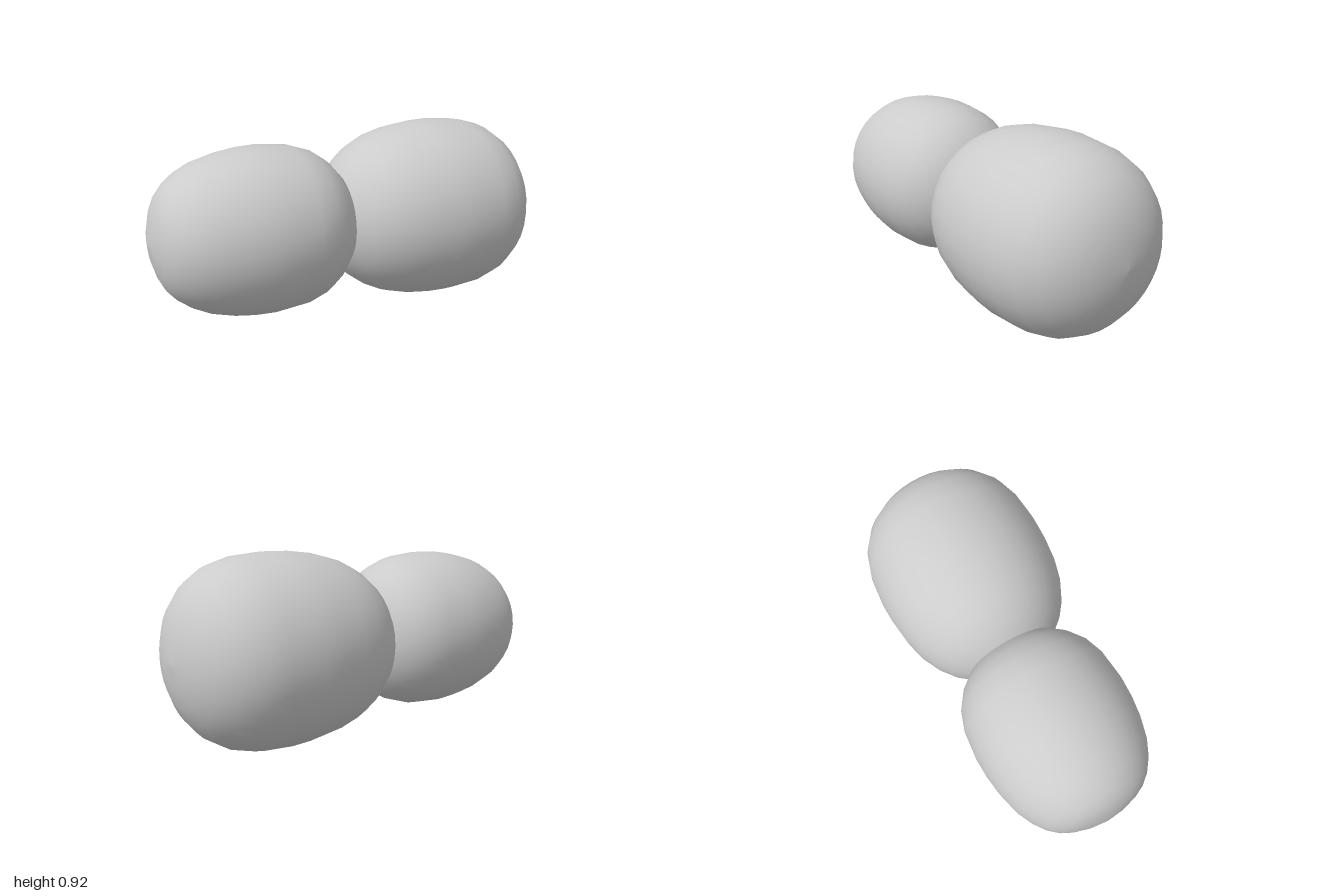
import * as THREE from 'three';

const AXIS_HEIGHT = 0.465;

// Egg-shaped lobe turned around the x axis; profile is [x, radius] from low x to high x
function makeLobe(name, profile, material) {
  const points = profile.map(([x, r]) => new THREE.Vector2(r, x));
  const geometry = new THREE.LatheGeometry(points, 32);
  geometry.rotateZ(-Math.PI / 2);
  const mesh = new THREE.Mesh(geometry, material);
  mesh.name = name;
  mesh.position.y = AXIS_HEIGHT;
  return mesh;
}

export function createModel() {
  const group = new THREE.Group();
  group.name = 'doubleLobe';
  const material = new THREE.MeshStandardMaterial({ color: 0xcccccc });

  // Large lobe, blunt at the outer end, its inner tip buried in the small lobe
  const large = [
    [-0.135, 0], [-0.12, 0.09], [-0.1, 0.17], [-0.06, 0.243], [0, 0.313],
    [0.07, 0.366], [0.16, 0.41], [0.27, 0.44], [0.4, 0.457], [0.5, 0.461],
    [0.66, 0.449], [0.77, 0.418], [0.86, 0.36], [0.925, 0.283],
    [0.967, 0.195], [0.992, 0.1], [1, 0],
  ];

  // Small lobe, its inner end buried in the large lobe
  const small = [
    [-1, 0], [-0.99, 0.09], [-0.967, 0.17], [-0.94, 0.225], [-0.9, 0.273],
    [-0.84, 0.319], [-0.76, 0.359], [-0.65, 0.389], [-0.55, 0.404],
    [-0.45, 0.409], [-0.3, 0.396], [-0.2, 0.363], [-0.125, 0.312],
    [-0.06, 0.24], [-0.025, 0.155], [-0.007, 0.08], [0, 0],
  ];

  group.add(makeLobe('largeLobe', large, material));
  group.add(makeLobe('smallLobe', small, material));
  return group;
}
